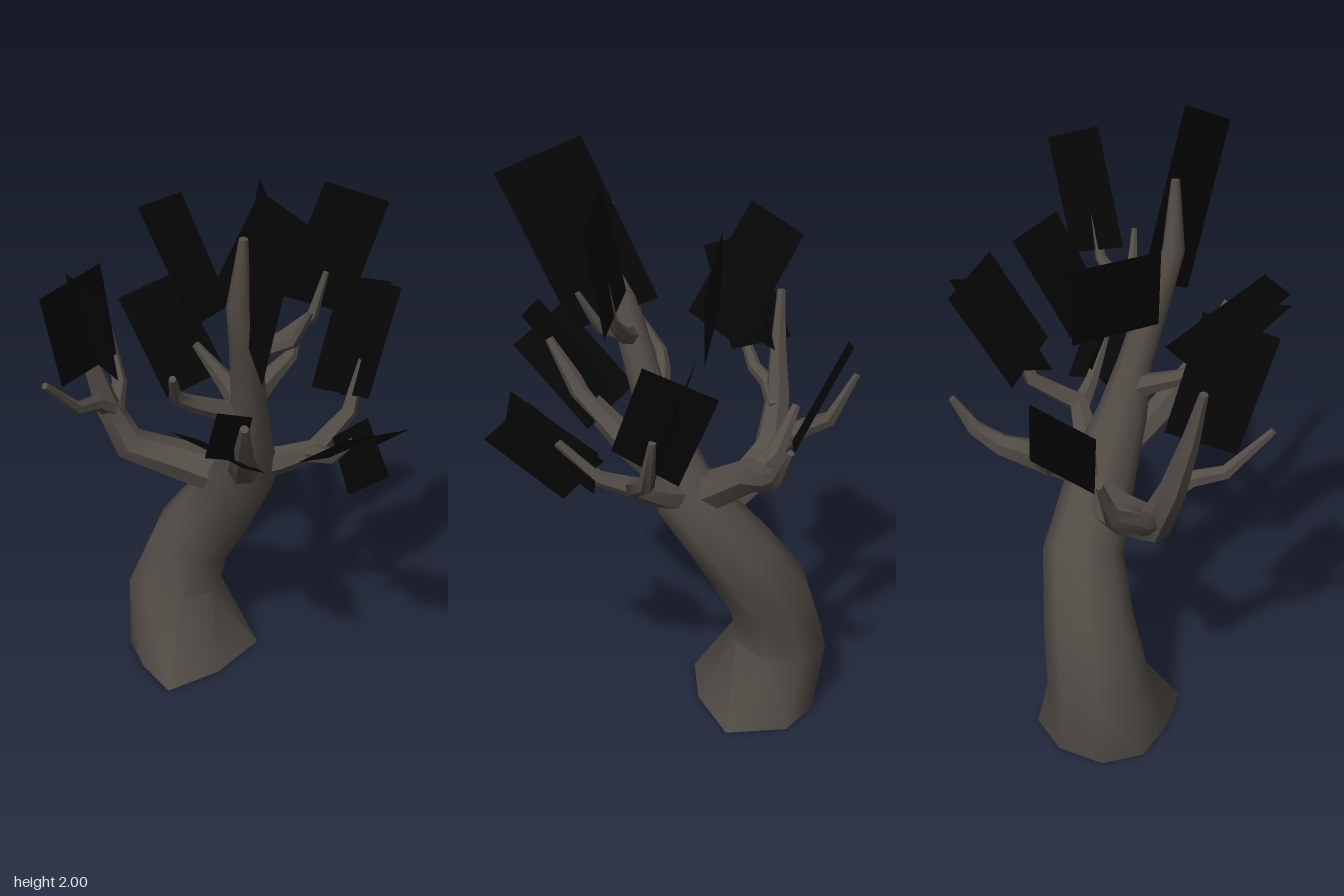
import * as THREE from 'three';
import { toCreasedNormals } from 'three/addons/utils/BufferGeometryUtils.js';

const bark = new THREE.MeshStandardMaterial({ color: 0x524c46 });
bark.name = 'bark';
const leaf = new THREE.MeshStandardMaterial({ color: 0x060606, side: THREE.DoubleSide });
leaf.name = 'dark leaf';

// Tapered limb: each point is [x, y, z, radius]; ends are capped.
// A foot outline of [x, z] pairs may replace the first ring.
function limb(name, points, sides, foot) {
  const p = points.map(([x, y, z]) => new THREE.Vector3(x, y, z));
  const n = p.length;
  const pos = [], index = [];
  const side = new THREE.Vector3(1, 0, 0.2);
  for (let i = 0; i < n; i++) {
    const t = new THREE.Vector3();
    if (i > 0) t.add(p[i].clone().sub(p[i - 1]).normalize());
    if (i < n - 1) t.add(p[i + 1].clone().sub(p[i]).normalize());
    t.normalize();
    if (i === 0 && Math.abs(side.dot(t)) > 0.9) side.set(0, 0, 1);
    side.addScaledVector(t, -side.dot(t)).normalize();
    const up = new THREE.Vector3().crossVectors(t, side);
    for (let k = 0; k < sides; k++) {
      const a = (k / sides) * Math.PI * 2;
      const v = p[i].clone()
        .addScaledVector(side, Math.cos(a) * points[i][3])
        .addScaledVector(up, Math.sin(a) * points[i][3]);
      if (i === 0 && foot) v.set(foot[k][0], p[0].y, foot[k][1]);
      pos.push(v.x, v.y, v.z);
      if (i < n - 1) {
        const b = i * sides + k, c = i * sides + ((k + 1) % sides);
        index.push(b, c, b + sides, c, c + sides, b + sides);
      }
    }
  }
  const last = (n - 1) * sides;
  for (let k = 1; k < sides - 1; k++) {
    index.push(0, k + 1, k, last, last + k, last + k + 1);
  }
  const g = new THREE.BufferGeometry();
  g.setAttribute('position', new THREE.Float32BufferAttribute(pos, 3));
  g.setIndex(index);
  const mesh = new THREE.Mesh(toCreasedNormals(g, 0.9), bark);
  mesh.name = name;
  return mesh;
}

// Flat foliage card from four corners.
function card(name, corners) {
  const g = new THREE.BufferGeometry();
  g.setAttribute('position', new THREE.Float32BufferAttribute(corners.flat(), 3));
  g.setIndex([0, 1, 2, 0, 2, 3]);
  g.computeVertexNormals();
  const mesh = new THREE.Mesh(g, leaf);
  mesh.name = name;
  return mesh;
}

export function createModel() {
  const tree = new THREE.Group();
  tree.name = 'tree';

  // Trunk on an uneven foot, bending back and then forward up to the crown tip
  const foot = [[0.14, -0.22], [0.08, -0.42], [-0.06, -0.49], [-0.22, -0.47],
    [-0.31, -0.36], [-0.3, -0.2], [-0.25, -0.04], [-0.05, -0.09]];
  tree.add(limb('trunk', [
    [-0.09, 0, -0.265, 0.23], [-0.13, 0.25, -0.36, 0.168], [-0.07, 0.45, -0.325, 0.147],
    [0.01, 0.63, -0.235, 0.132], [0.045, 0.86, -0.06, 0.11], [0.02, 1.03, 0.01, 0.082],
    [0.01, 1.2, 0.07, 0.056], [-0.025, 1.42, 0.14, 0.05], [-0.06, 1.57, 0.18, 0.036],
    [-0.05, 1.79, 0.2, 0.014],
  ], 8, foot));

  // Branches and twigs
  const limbs = {
    rightBranch: [[0.02, 0.78, -0.13, 0.07], [-0.14, 0.83, -0.23, 0.068], [-0.3, 0.89, -0.29, 0.058],
      [-0.37, 1.05, -0.3, 0.042], [-0.42, 1.23, -0.29, 0.028], [-0.46, 1.4, -0.29, 0.014]],
    rightBackTwig: [[-0.29, 0.9, -0.3, 0.04], [-0.32, 0.96, -0.4, 0.034], [-0.28, 1.02, -0.49, 0.026],
      [-0.29, 1.18, -0.57, 0.012]],
    rightOuterTwig: [[-0.34, 1.02, -0.3, 0.035], [-0.41, 1.08, -0.26, 0.028], [-0.49, 1.1, -0.2, 0.024],
      [-0.6, 1.24, -0.12, 0.012]],
    leftBranch: [[0.06, 0.86, -0.07, 0.06], [0.16, 0.91, 0.0, 0.045], [0.24, 0.97, 0.07, 0.036],
      [0.38, 1.05, 0.0, 0.026], [0.43, 1.22, -0.03, 0.012]],
    leftFrontTwig: [[0.23, 0.96, 0.07, 0.034], [0.26, 1.0, 0.18, 0.025], [0.28, 1.12, 0.3, 0.014]],
    frontBranch: [[0.04, 0.87, -0.06, 0.06], [-0.03, 0.98, 0.14, 0.05], [-0.09, 1.13, 0.32, 0.035],
      [-0.12, 1.3, 0.43, 0.014]],
    backBranch: [[0.05, 0.86, -0.1, 0.07], [0.11, 0.98, -0.28, 0.055], [0.23, 1.03, -0.36, 0.036],
      [0.31, 1.08, -0.39, 0.026], [0.36, 1.19, -0.43, 0.012]],
    backTwig: [[0.11, 0.96, -0.27, 0.05], [0.06, 1.04, -0.35, 0.034], [-0.03, 1.17, -0.4, 0.014]],
    sideTwig: [[0.0, 1.12, 0.04, 0.04], [-0.17, 1.2, 0.06, 0.027], [-0.23, 1.24, 0.08, 0.023],
      [-0.26, 1.35, 0.16, 0.012]],
    upperTwig: [[0.0, 1.38, 0.13, 0.035], [0.1, 1.42, 0.13, 0.024], [0.19, 1.49, 0.14, 0.018],
      [0.225, 1.63, 0.15, 0.009]],
    upperFrontTwig: [[0.03, 1.39, 0.13, 0.028], [0.11, 1.44, 0.2, 0.02], [0.14, 1.56, 0.26, 0.009]],
  };
  for (const [name, points] of Object.entries(limbs)) tree.add(limb(name, points, 6));

  // Foliage cards around the branch tips
  const cards = {
    crownSideCard: [[-0.03, 1.87, 0.56], [-0.03, 2.0, 0.28], [-0.03, 1.5, 0.045], [-0.03, 1.37, 0.32]],
    crownLeftCard: [[0.21, 1.92, 0.16], [0.41, 1.84, 0.17], [0.3, 1.48, 0.14], [0.09, 1.56, 0.12]],
    backUpperCard: [[-0.26, 1.76, -0.21], [-0.14, 1.42, -0.03], [0.04, 1.38, -0.23], [-0.07, 1.72, -0.4]],
    backCrossCard: [[0.125, 1.78, -0.18], [0.31, 1.63, -0.16], [0.12, 1.34, -0.13], [-0.04, 1.49, -0.15]],
    backLowerCard: [[-0.26, 1.31, -0.54], [-0.14, 0.99, -0.38], [0.08, 1.05, -0.41], [-0.05, 1.37, -0.57]],
    leftCard: [[0.4, 1.48, -0.155], [0.6, 1.41, -0.13], [0.46, 1.07, -0.03], [0.26, 1.14, -0.04]],
    leftCrossCard: [[0.515, 1.41, -0.24], [0.515, 1.49, -0.02], [0.385, 1.16, 0.105], [0.385, 1.06, -0.1]],
    rightCard: [[-0.6, 1.54, -0.11], [-0.39, 1.6, -0.19], [-0.33, 1.23, -0.29], [-0.53, 1.18, -0.21]],
    rightCrossCard: [[-0.5, 1.58, -0.19], [-0.42, 1.55, -0.03], [-0.36, 1.21, -0.14], [-0.44, 1.24, -0.33]],
    frontCard: [[-0.16, 1.25, 0.565], [-0.35, 1.34, 0.445], [-0.185, 1.13, 0.16], [0, 1.04, 0.275]],
    frontCrossCard: [[-0.28, 1.31, 0.57], [-0.22, 1.4, 0.49], [-0.02, 1.2, 0.2], [-0.08, 1.1, 0.28]],
    frontLeftCard: [[0.13, 1.02, 0.21], [0.35, 0.99, 0.17], [0.4, 1.21, 0.43], [0.18, 1.235, 0.475]],
    frontLeftCrossCard: [[0.3, 1.12, 0.53], [0.28, 1.25, 0.39], [0.26, 1.06, 0.16], [0.27, 0.92, 0.29]],
  };
  for (const [name, corners] of Object.entries(cards)) tree.add(card(name, corners));

  return tree;
}
